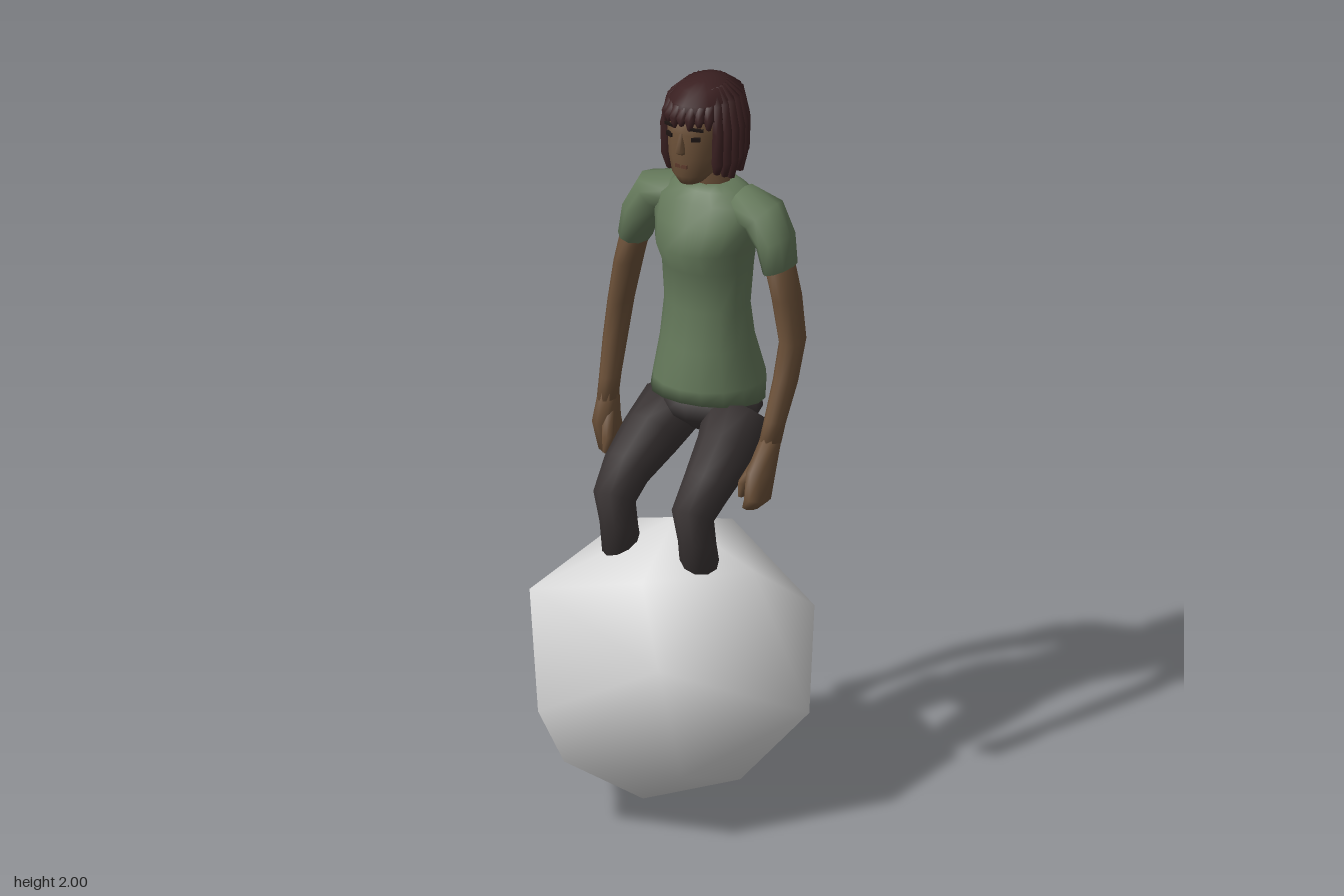
import * as THREE from 'three';
import { mergeVertices } from 'three/addons/utils/BufferGeometryUtils.js';
import { ConvexGeometry } from 'three/addons/geometries/ConvexGeometry.js';

const mat = (name, color) => {
  const m = new THREE.MeshStandardMaterial({ color });
  m.name = name;
  return m;
};

// Skin elliptical rings listed bottom to top: [x, y, z, radiusX, radiusZ, tilt, roll]
function loft(rings, seg = 10) {
  const pos = [], idx = [];
  for (const [x, y, z, a, b, tilt = 0, roll = 0] of rings) {
    for (let j = 0; j < seg; j++) {
      const t = (j / seg) * Math.PI * 2, c = a * Math.cos(t), s = b * Math.sin(t);
      pos.push(x + c * Math.cos(roll), y + c * Math.sin(roll) + s * Math.sin(tilt), z + s * Math.cos(tilt));
    }
  }
  const n = rings.length;
  for (let i = 0; i < n - 1; i++) {
    for (let j = 0; j < seg; j++) {
      const k = (j + 1) % seg, p = i * seg, q = p + seg;
      idx.push(p + j, q + j, p + k, p + k, q + j, q + k);
    }
  }
  const bottom = n * seg, top = bottom + 1;
  pos.push(...rings[0].slice(0, 3), ...rings[n - 1].slice(0, 3));
  for (let j = 0; j < seg; j++) {
    const k = (j + 1) % seg, q = (n - 1) * seg;
    idx.push(bottom, j, k, top, q + k, q + j);
  }
  const g = new THREE.BufferGeometry();
  g.setAttribute('position', new THREE.Float32BufferAttribute(pos, 3));
  g.setIndex(idx);
  g.computeVertexNormals();
  return g;
}

// Mirror ring centres and roll to the other side
const mirror = (rings) => rings.map(([x, y, z, a, b, t = 0, r = 0]) => [-x, y, z, a, b, t, -r]);

export function createModel() {
  const root = new THREE.Group();
  const skin = mat('skin', 0x6b5038), shirt = mat('shirtGreen', 0x64785a), trousers = mat('trousers', 0x3a3434);
  const hair = mat('hair', 0x3a2021), stone = mat('ballGrey', 0xdcdcdc);
  const dark = mat('eyeDark', 0x1c1412), lip = mat('lip', 0x5c3a2c);
  const add = (name, geo, m, parent = root) => {
    const mesh = new THREE.Mesh(geo, m);
    mesh.name = name;
    parent.add(mesh);
    return mesh;
  };

  // Faceted ball with smooth shading
  const corners = [
    [0, .79, 0], [.25, .7, .02], [.03, .7, -.24], [-.17, .74, -.02], [.04, .7, .24],
    [-.31, .6, .23], [.175, .53, .38], [.33, .55, -.16], [-.13, .48, -.385], [-.33, .52, -.15],
    [.41, .32, 0], [-.41, .27, -.045], [.2, .28, -.335], [-.23, .3, .32], [-.12, .2, .37],
    [.2, .2, .3], [-.2, .2, -.28],
    [.21, .09, .02], [-.25, .09, .02], [.02, .06, .2], [.02, .09, -.24], [0, 0, 0],
  ].map((p) => new THREE.Vector3(...p));
  let ballGeo = new ConvexGeometry(corners);
  ballGeo.deleteAttribute('normal');
  ballGeo = mergeVertices(ballGeo, 1e-4);
  ballGeo.computeVertexNormals();
  add('ball', ballGeo, stone);

  // Bent legs and hips
  const leg = [
    [.12, .68, .07, .052, .056], [.12, .78, .09, .05, .054, .2], [.12, .865, .112, .056, .064, .5],
    [.122, .92, .05, .062, .075, .95], [.112, .98, -.06, .074, .095, .95], [.09, 1.05, -.17, .085, .11, .7],
  ];
  add('leftLeg', loft(leg, 10), trousers);
  add('rightLeg', loft(mirror(leg), 10), trousers);
  add('hips', loft([[0, .99, -.19, .08, .06], [0, 1.05, -.175, .145, .125], [0, 1.12, -.17, .14, .135]], 12), trousers);

  // Shirt body
  add('shirt', loft([
    [0, 1.09, -.165, .155, .145, .14], [0, 1.14, -.175, .15, .155, .05], [0, 1.25, -.165, .128, .125],
    [0, 1.36, -.163, .118, .102], [0, 1.47, -.165, .125, .112], [0, 1.535, -.155, .135, .135],
    [0, 1.6, -.165, .148, .115], [0, 1.66, -.175, .15, .095], [0, 1.69, -.178, .1, .075], [0, 1.705, -.178, .062, .055],
  ], 16), shirt);

  // Sleeves
  const sleeve = [
    [.222, 1.495, -.165, .041, .062, 0, .3], [.205, 1.57, -.17, .05, .066, 0, .4],
    [.165, 1.63, -.175, .06, .07, 0, .8], [.09, 1.65, -.18, .05, .07, 0, 1.3],
  ];
  add('leftSleeve', loft(sleeve), shirt);
  add('rightSleeve', loft(mirror(sleeve)), shirt);

  // Arms, each running from its hand up into the sleeve
  const upper = [[.263, 1.3, -.16, .03, .051], [.242, 1.42, -.165, .034, .055], [.215, 1.53, -.165, .035, .055]];
  add('leftArm', loft([[.263, 1.05, -.045, .026, .038, .3], [.265, 1.1, -.065, .026, .038, .3], [.265, 1.2, -.12, .029, .045, .3], ...upper]), skin);
  add('rightArm', loft([[-.265, 1.04, -.095, .026, .036], [-.266, 1.1, -.11, .026, .038], [-.268, 1.2, -.14, .029, .045], ...mirror(upper)]), skin);
  add('leftHand', loft([[.25, .89, .035, .022, .022], [.268, .915, .028, .032, .045, .2],
    [.264, .98, .005, .032, .055, .3], [.263, 1.06, -.05, .025, .036, .3]], 8), skin);
  add('rightHand', loft([[-.235, .85, -.125, .018, .025], [-.262, .89, -.115, .034, .045],
    [-.266, .98, -.09, .032, .052], [-.265, 1.06, -.1, .025, .035]], 8), skin);
  add('leftThumb', loft([[.228, .92, .04, .01, .014], [.23, .96, .035, .015, .02], [.252, 1.02, -.01, .016, .02]], 6), skin);
  add('rightThumb', loft([[-.235, .91, -.04, .01, .014], [-.238, .95, -.05, .015, .02], [-.255, 1.01, -.08, .016, .02]], 6), skin);

  // Head and neck
  add('neck', loft([[0, 1.66, -.18, .075, .06], [0, 1.71, -.175, .058, .052], [0, 1.8, -.155, .045, .045]]), skin);
  add('head', loft([
    [0, 1.733, -.085, .032, .042], [0, 1.76, -.1, .057, .072], [0, 1.81, -.12, .075, .095],
    [0, 1.88, -.13, .082, .106], [0, 1.94, -.14, .08, .1], [0, 1.98, -.15, .05, .06],
  ], 16), skin);
  add('nose', loft([[0, 1.825, -.03, .012, .01], [0, 1.835, -.025, .014, .019], [0, 1.885, -.03, .006, .01]], 6), skin);

  // Facial details as thin plates
  for (const s of [1, -1]) {
    const eye = add(s > 0 ? 'leftEye' : 'rightEye', new THREE.BoxGeometry(.024, .011, .008), dark);
    eye.position.set(s * .04, 1.872, -.036);
    eye.rotation.y = s * .45;
    const brow = add(s > 0 ? 'leftBrow' : 'rightBrow', new THREE.BoxGeometry(.036, .007, .008), dark);
    brow.position.set(s * .042, 1.899, -.038);
    brow.rotation.set(0, s * .45, -s * .12);
  }
  add('mouth', new THREE.BoxGeometry(.036, .01, .009), lip).position.set(0, 1.79, -.031);

  // Hair: crown, back volume and a ring of strands with a short fringe
  const hairGroup = new THREE.Group();
  hairGroup.name = 'hair';
  root.add(hairGroup);
  add('crown', loft([[0, 1.915, -.15, .094, .122], [0, 1.96, -.15, .086, .114],
    [0, 1.988, -.15, .058, .08], [0, 2, -.15, .022, .035]], 16), hair, hairGroup);
  add('backHair', loft([[0, 1.75, -.195, .078, .075], [0, 1.84, -.185, .095, .09], [0, 1.93, -.175, .092, .095]], 14), hair, hairGroup);
  const count = 26;
  for (let i = 0; i < count; i++) {
    const t = ((i + .5) / count) * Math.PI * 2, c = Math.cos(t), s = Math.sin(t);
    const fringe = s > .6;
    const low = fringe ? 1.905 - .01 * (i % 2) : 1.735 + .012 * (i % 3);
    const ring = (y, k, r) => [c * .094 * k, y, -.155 + s * .12 * k, r, r];
    const rings = fringe
      ? [ring(low, 1.04, .006), ring(1.925, 1.02, .015)]
      : [ring(low, .93, .009), ring(1.79, 1, .016), ring(1.88, 1.02, .017)];
    add('strand', loft([...rings, ring(1.955, .87, .016), ring(1.99, .52, .009)], 5), hair, hairGroup);
  }
  return root;
}
